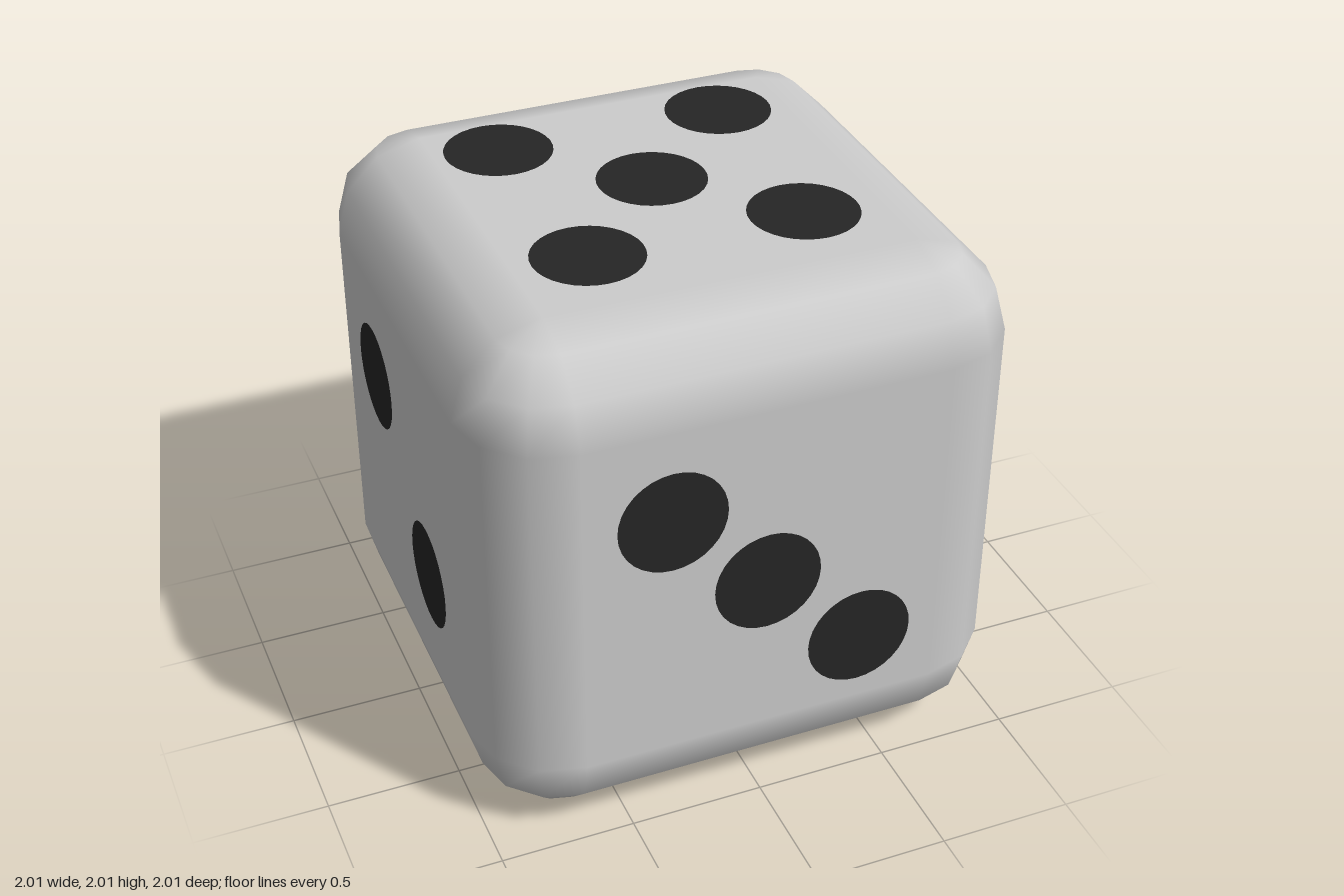
import * as THREE from 'three';

const RADIUS = 0.33;       // rounding of the edges
const CORE = 1 - RADIUS;   // half extent of the flat faces
const STEPS = 3;           // facets per rounded quarter
const LIFT = 0.003;        // pips sit just proud of the faces

// Rounded cube: a sphere whose eight octants are pulled apart to the corners
function roundedCube() {
  const positions = [], normals = [], index = [];
  const rows = 2 * (STEPS + 1), cols = 4 * (STEPS + 1);
  for (let r = 0; r < rows; r++) {
    const upper = r > STEPS;
    const lat = ((upper ? r - 1 : r) / STEPS - 1) * Math.PI / 2;
    for (let c = 0; c < cols; c++) {
      const quarter = Math.floor(c / (STEPS + 1));
      const lon = (quarter + (c % (STEPS + 1)) / STEPS) * Math.PI / 2;
      const mid = (quarter + 0.5) * Math.PI / 2;
      const n = [Math.cos(lat) * Math.sin(lon), Math.sin(lat), Math.cos(lat) * Math.cos(lon)];
      const s = [Math.sign(Math.sin(mid)), upper ? 1 : -1, Math.sign(Math.cos(mid))];
      positions.push(...n.map((v, i) => s[i] * CORE + v * RADIUS));
      normals.push(...n);
    }
  }
  for (let r = 0; r < rows - 1; r++) {
    for (let c = 0; c < cols; c++) {
      const d = (c + 1) % cols;
      const a = r * cols + c, b = r * cols + d;
      index.push(a, b, b + cols, a, b + cols, a + cols);
    }
  }
  // Flat top and bottom between the four corner poles
  const [p0, p1, p2, p3] = [0, 1, 2, 3].map((k) => k * (STEPS + 1));
  const t = (rows - 1) * cols;
  index.push(t + p0, t + p1, t + p2, t + p0, t + p2, t + p3);
  index.push(p0, p2, p1, p0, p3, p2);

  const geo = new THREE.BufferGeometry();
  geo.setAttribute('position', new THREE.Float32BufferAttribute(positions, 3));
  geo.setAttribute('normal', new THREE.Float32BufferAttribute(normals, 3));
  geo.setIndex(index);
  return geo;
}

export function createModel() {
  const white = new THREE.MeshStandardMaterial({ color: 0xcccccc });
  white.name = 'bodyGrey';
  const black = new THREE.MeshStandardMaterial({ color: 0x262626 });
  black.name = 'pipBlack';

  const model = new THREE.Group();
  model.name = 'die';

  const body = new THREE.Mesh(roundedCube(), white);
  body.name = 'body';
  body.position.y = 1;
  model.add(body);

  // Pip centres per face, as model coordinates in the plane of that face
  const h = 1 + LIFT;
  const faces = [
    { name: 'frontThree', rot: [0, 0], at: (x, y) => [x, y, h],
      pips: [[-0.35, 1.315], [0.005, 0.965], [0.37, 0.61]] },
    { name: 'backFour', rot: [0, Math.PI], at: (x, y) => [x, y, -h],
      pips: [[-0.31, 1.32], [0.31, 1.32], [-0.31, 0.69], [0.31, 0.69]] },
    { name: 'leftSix', rot: [0, Math.PI / 2], at: (z, y) => [h, y, z],
      pips: [[0.485, 1.42], [-0.02, 1.415], [-0.53, 1.41], [0.485, 0.585], [-0.02, 0.59], [-0.53, 0.6]] },
    { name: 'rightTwo', rot: [0, -Math.PI / 2], at: (z, y) => [-h, y, z],
      pips: [[-0.275, 1.28], [0.275, 0.76]] },
    { name: 'topFive', rot: [-Math.PI / 2, 0], at: (x, z) => [x, 1 + h, z],
      pips: [[-0.435, -0.47], [0.43, -0.47], [0, -0.06], [-0.4, 0.36], [0.4, 0.355]] },
    { name: 'bottomOne', rot: [Math.PI / 2, 0], at: (x, z) => [x, 1 - h, z],
      pips: [[0.005, -0.09]] },
  ];

  const disc = new THREE.CircleGeometry(0.2, 32);
  for (const { name, rot, at, pips } of faces) {
    const group = new THREE.Group();
    group.name = name;
    for (const [u, v] of pips) {
      const pip = new THREE.Mesh(disc, black);
      pip.name = 'pip';
      pip.position.set(...at(u, v));
      pip.rotation.set(rot[0], rot[1], 0);
      group.add(pip);
    }
    model.add(group);
  }
  // Rest the lowest pip on the ground
  model.position.y = LIFT;
  return model;
}
